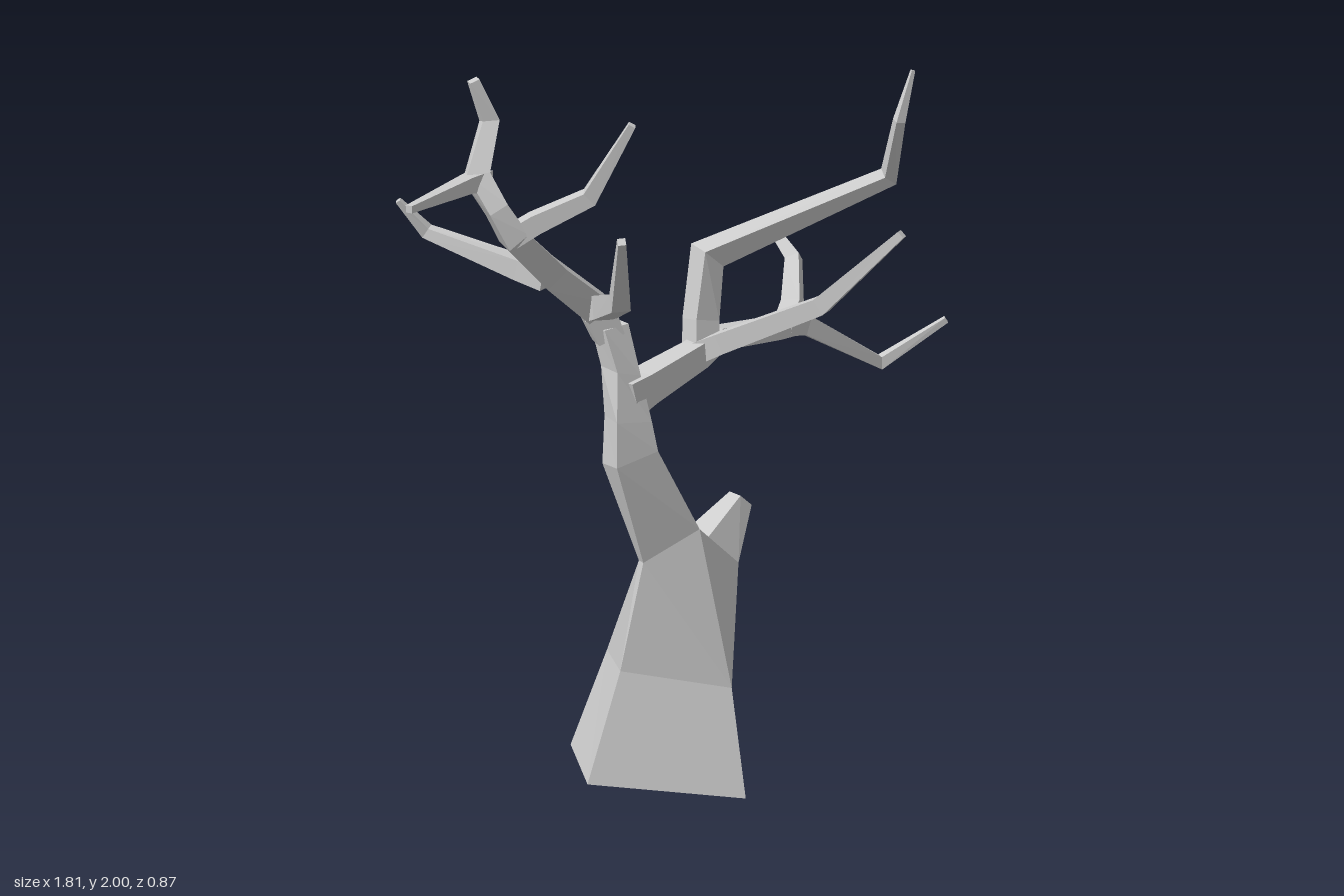
import * as THREE from 'three';

const bark = new THREE.MeshStandardMaterial({ color: 0xcccccc });
bark.name = 'paleGreyBark';

// Skins four-cornered rings (counter-clockwise about the growth direction) with faceted faces and end caps.
function skin(name, rings) {
  const pos = [];
  const tri = (...p) => p.forEach((v) => pos.push(v[0], v[1], v[2]));
  const quad = (a, b, c, d) => { tri(a, b, d); tri(b, c, d); };
  for (let k = 0; k < rings.length - 1; k++) {
    const lo = rings[k], hi = rings[k + 1];
    for (let i = 0; i < 4; i++) {
      const j = (i + 1) % 4;
      quad(lo[i], lo[j], hi[j], hi[i]);
    }
  }
  const s = rings[0], e = rings[rings.length - 1];
  quad(s[3], s[2], s[1], s[0]);
  quad(e[0], e[1], e[2], e[3]);
  const geo = new THREE.BufferGeometry();
  geo.setAttribute('position', new THREE.Float32BufferAttribute(pos, 3));
  geo.computeVertexNormals();
  const mesh = new THREE.Mesh(geo, bark);
  mesh.name = name;
  return mesh;
}

// Square-section limb through points [x, y, z, halfWidth].
function limb(name, pts) {
  const p = pts.map((q) => new THREE.Vector3(q[0], q[1], q[2]));
  const dir = (i) => p[i + 1].clone().sub(p[i]).normalize();
  let side = null;
  const rings = p.map((c, i) => {
    const t = new THREE.Vector3();
    if (i > 0) t.add(dir(i - 1));
    if (i < p.length - 1) t.add(dir(i));
    t.normalize();
    if (!side) {
      side = new THREE.Vector3(0, 1, 0).cross(t);
      if (side.length() < 0.3) side.set(1, 0, 0);
    }
    side.addScaledVector(t, -side.dot(t)).normalize();
    const up = t.clone().cross(side);
    const r = pts[i][3];
    return [[-1, -1], [1, -1], [1, 1], [-1, 1]].map(([a, b]) =>
      c.clone().addScaledVector(side, a * r).addScaledVector(up, b * r).toArray());
  });
  return skin(name, rings);
}

export function createModel() {
  const tree = new THREE.Group();
  tree.name = 'bareTree';

  // Twisting trunk, corners in the order left, front, right, back
  const trunk = [
    [[-0.31, 0.05, 0.02], [0.07, 0, 0.21], [0.265, 0, -0.18], [-0.12, 0.05, -0.365]],
    [[-0.2, 0.345, 0.01], [0.07, 0.29, 0.14], [0.205, 0.29, -0.14], [-0.065, 0.325, -0.27]],
    [[-0.14, 0.64, 0.03], [0.035, 0.71, 0.035], [0.02, 0.705, -0.14], [-0.135, 0.64, 0.0]],
    [[-0.22, 0.91, 0.025], [-0.09, 0.94, 0.025], [-0.09, 0.94, -0.11], [-0.2, 0.9, -0.08]],
    [[-0.21, 1.03, 0.01], [-0.1, 1.02, 0.01], [-0.1, 1.02, -0.09], [-0.19, 1.03, -0.085]],
    [[-0.19, 1.16, -0.02], [-0.11, 1.14, -0.03], [-0.11, 1.14, -0.12], [-0.185, 1.16, -0.11]],
    [[-0.205, 1.27, -0.06], [-0.13, 1.28, -0.06], [-0.13, 1.28, -0.14], [-0.2, 1.27, -0.14]],
  ];
  tree.add(skin('trunk', trunk));

  // Broken stub swelling out of the trunk's side
  const [, f2, r2] = trunk[1];
  const [, f3, r3] = trunk[2];
  const lowF = [0.18, 0.59, 0], lowB = [0.18, 0.59, -0.135];
  tree.add(skin('brokenStub', [
    [f2, f2, r2, r2],
    [f3, lowF, lowB, r3],
    [[0.08, 0.66, -0.01], lowF, lowB, [0.08, 0.66, -0.12]],
    [[0.215, 0.76, -0.045], [0.25, 0.73, -0.045], [0.25, 0.73, -0.1], [0.215, 0.76, -0.1]],
  ]));

  // Boughs, branches and twigs
  const limbs = {
    leftBough: [[0.17, 1.1, 0], []],
  };
  delete limbs.leftBough;
  Object.assign(limbs, {
    // low bough towards +x, with its two end twigs
    lowBough: [[-0.15, 1.08, -0.05, 0.05], [-0.08, 1.1, -0.06, 0.042], [0.1, 1.155, -0.09, 0.034],
      [0.2, 1.175, -0.145, 0.03], [0.41, 1.165, -0.185, 0.028], [0.49, 1.17, -0.2, 0.03]],
    lowBoughDroopingTwig: [[0.45, 1.17, -0.19, 0.028], [0.51, 1.16, -0.195, 0.026],
      [0.745, 1.025, -0.185, 0.017], [0.9, 1.14, -0.1, 0.008]],
    lowBoughRisingTwig: [[0.45, 1.17, -0.19, 0.026], [0.49, 1.21, -0.22, 0.026],
      [0.55, 1.31, -0.31, 0.02], [0.535, 1.4, -0.43, 0.01]],
    forwardBranch: [[0.12, 1.16, -0.1, 0.03], [0.16, 1.19, -0.05, 0.028],
      [0.315, 1.325, 0.2, 0.024], [0.45, 1.545, 0.39, 0.011]],
    tallBranch: [[0.13, 1.16, -0.11, 0.036], [0.14, 1.24, -0.125, 0.036], [0.17, 1.41, -0.14, 0.038],
      [0.655, 1.59, 0.0, 0.021], [0.625, 1.77, 0.1, 0.013], [0.665, 1.905, 0.105, 0.005]],
    // high bough towards -x, ending in the crown twig
    highBough: [[-0.168, 1.24, -0.1, 0.038], [-0.2, 1.32, -0.11, 0.042], [-0.37, 1.45, -0.07, 0.037],
      [-0.52, 1.58, -0.015, 0.034], [-0.565, 1.66, -0.03, 0.028], [-0.595, 1.745, -0.085, 0.032],
      [-0.525, 1.88, -0.13, 0.023], [-0.57, 1.995, -0.14, 0.014]],
    crownSideTwig: [[-0.57, 1.73, -0.09, 0.03], [-0.64, 1.735, -0.06, 0.022], [-0.9, 1.728, 0.06, 0.01]],
    crownInnerTwig: [[-0.53, 1.58, -0.02, 0.028], [-0.47, 1.62, 0.01, 0.027],
      [-0.345, 1.69, 0.085, 0.022], [-0.27, 1.9, 0.18, 0.01]],
    highBoughBackTwig: [[-0.38, 1.44, -0.07, 0.032], [-0.42, 1.455, -0.14, 0.028],
      [-0.565, 1.525, -0.38, 0.016], [-0.64, 1.615, -0.405, 0.007]],
    highBoughFrontBranch: [[-0.2, 1.32, -0.11, 0.034], [-0.225, 1.345, -0.03, 0.032],
      [-0.34, 1.43, 0.23, 0.026], [-0.455, 1.655, 0.42, 0.011]],
  });
  for (const [name, pts] of Object.entries(limbs)) tree.add(limb(name, pts));
  return tree;
}
